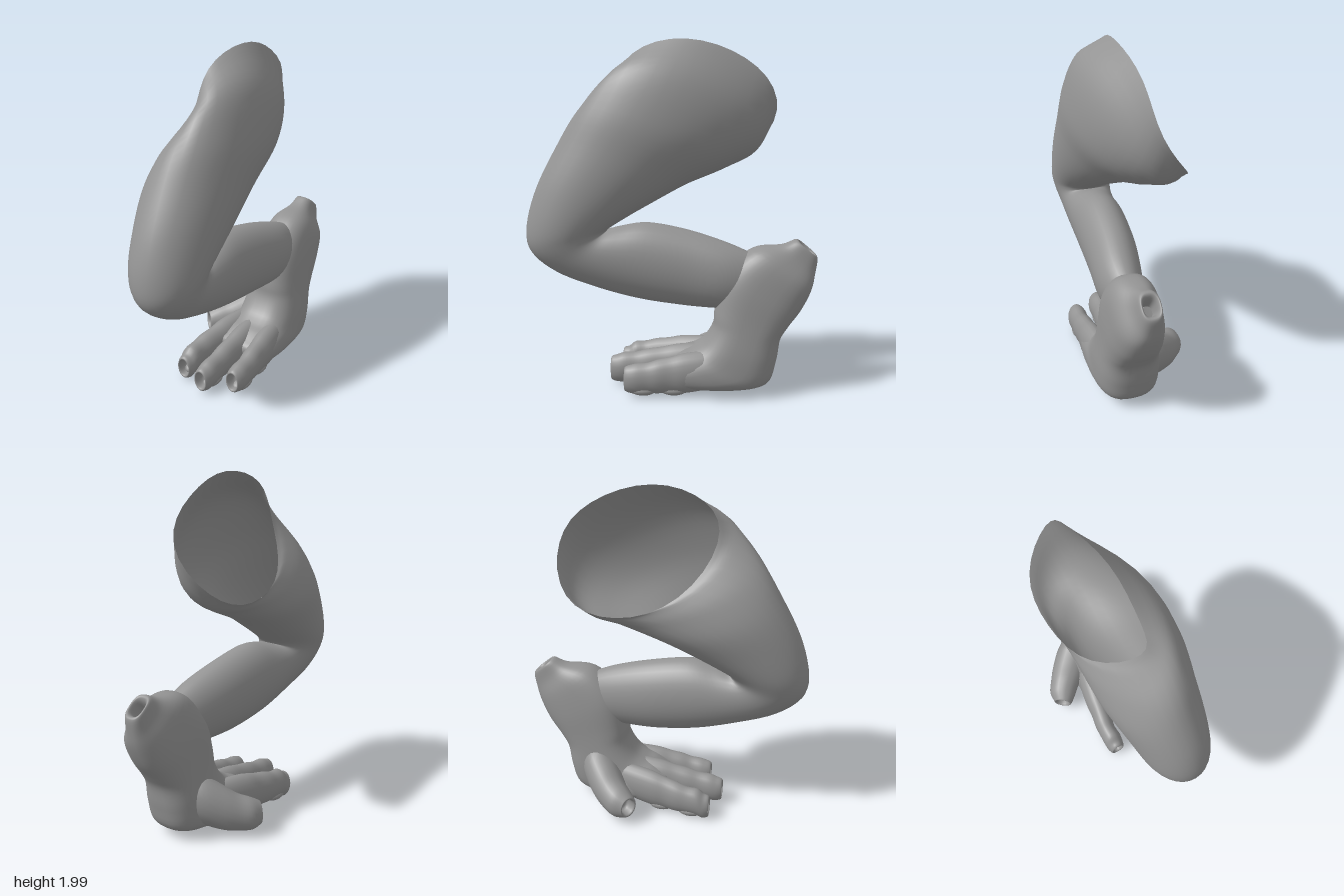
import * as THREE from 'three';

const material = new THREE.MeshStandardMaterial({ color: 0x949494, side: THREE.DoubleSide });
const soften = (v, power) => Math.sign(v) * Math.abs(v) ** power;

// Smooth skin through oval rings; each ring is [centre, half axis A, half axis B, bow at the ends of A].
// A power below 1 makes the ovals squarer.
function loft(name, rings, sides = 32, steps = 5, power = 1) {
  const curves = [0, 1, 2, 3].map(k => new THREE.CatmullRomCurve3(
    rings.map(r => new THREE.Vector3(...(r[k] ?? [0, 0, 0]))), false, 'catmullrom', 0.5));
  const rows = (rings.length - 1) * steps;
  const position = [], index = [];
  for (let i = 0; i <= rows; i++) {
    const [c, a, b, bow] = curves.map(curve => curve.getPoint(i / rows));
    for (let j = 0; j < sides; j++) {
      const t = j / sides * Math.PI * 2, u = Math.cos(t);
      const p = c.clone().addScaledVector(a, soften(u, power))
        .addScaledVector(b, soften(Math.sin(t), power)).addScaledVector(bow, u ** 4);
      position.push(p.x, Math.max(p.y, 0), p.z);
      if (i < rows) {
        const n = (j + 1) % sides, q = i * sides;
        index.push(q + j, q + sides + j, q + n, q + n, q + sides + j, q + sides + n);
      }
    }
  }
  const geometry = new THREE.BufferGeometry();
  geometry.setAttribute('position', new THREE.Float32BufferAttribute(position, 3));
  geometry.setIndex(index);
  geometry.computeVertexNormals();
  const mesh = new THREE.Mesh(geometry, material);
  mesh.name = name;
  return mesh;
}

// Ring spanning a front point and a back point of the side profile.
function span(zf, yf, zb, yb, x, halfWidth, lift = 0) {
  return [[x, (yf + yb) / 2, (zf + zb) / 2], [0, (yf - yb) / 2, (zf - zb) / 2], [halfWidth, lift, 0]];
}

// Toe along a path of [x, y, z, half width, half height], ending in a hollow claw socket.
function toe(name, path, side = [1, 0, 0]) {
  const ring = ([x, y, z, w, h]) => [[x, y, z], [0, h, 0], side.map(s => s * w)];
  const [x, y, z, w, h] = path[path.length - 1];
  const ahead = [-side[2], 0, side[0]];
  const at = (d, k) => ring([x + ahead[0] * d, y, z + ahead[2] * d, w * k, h * k]);
  return loft(name, [...path.map(ring), at(0.01, 0.86), at(0.0, 0.72), at(-0.05, 0.6), at(-0.055, 0.01)], 20, 4);
}

// Soft oval pad under a toe
function pad(x, z) {
  const mesh = new THREE.Mesh(new THREE.SphereGeometry(1, 20, 14), material);
  mesh.name = 'toePad';
  mesh.position.set(x, 0.045, z);
  mesh.scale.set(0.05, 0.035, 0.08);
  return mesh;
}

export function createModel() {
  const model = new THREE.Group();
  model.name = 'bentLeg';

  // Thigh open at the hip, folded knee and shank
  model.add(loft('thighAndShank', [
    [[-0.095, 1.67, -0.145], [0.02, 0.02, 0.43], [0.145, 0.325, 0.07], [0.085, 0.02, 0]],
    [[-0.005, 1.575, -0.05], [0.01, 0.12, 0.435], [0.215, 0.235, 0.05], [0.03, 0, 0]],
    [[0.03, 1.45, 0.1], [0, 0.13, 0.425], [0.245, 0.13, 0.02]],
    span(0.64, 1.41, -0.08, 1.2, 0.035, 0.245, 0.07),
    span(0.76, 1.18, 0.12, 1.09, 0.055, 0.225, 0.03),
    span(0.82, 0.97, 0.32, 0.975, 0.07, 0.2),
    span(0.8, 0.82, 0.36, 0.945, 0.08, 0.175),
    span(0.66, 0.7, 0.35, 0.945, 0.08, 0.158),
    span(0.45, 0.615, 0.28, 0.965, 0.08, 0.15),
    span(0.2, 0.545, 0.13, 0.985, 0.075, 0.15),
    span(-0.05, 0.51, -0.1, 0.945, 0.08, 0.145),
    span(-0.26, 0.5, -0.33, 0.875, 0.1, 0.13),
    span(-0.45, 0.5, -0.5, 0.8, 0.105, 0.09),
  ]));

  // Hock with a hollow stub, bending round the heel into the palm
  model.add(loft('hockAndPalm', [
    [[0.08, 0.76, -0.69], [0, 0.02, 0.025], [0.03, 0, 0]],
    [[0.08, 0.835, -0.75], [0, 0.03, 0.036], [0.038, 0, 0]],
    [[0.08, 0.85, -0.76], [0, 0.05, 0.06], [0.055, 0, 0]],
    span(-0.62, 0.87, -0.81, 0.71, 0.085, 0.075),
    span(-0.45, 0.845, -0.79, 0.62, 0.1, 0.125),
    span(-0.3, 0.7, -0.74, 0.51, 0.1, 0.15),
    span(-0.25, 0.5, -0.67, 0.41, 0.1, 0.16),
    span(-0.24, 0.4, -0.625, 0.33, 0.1, 0.168),
    span(-0.19, 0.31, -0.605, 0.2, 0.1, 0.18),
    span(-0.13, 0.265, -0.56, 0.07, 0.1, 0.185),
    span(-0.07, 0.24, -0.4, 0.03, 0.095, 0.195),
    span(-0.02, 0.21, -0.18, 0.03, 0.09, 0.195),
    span(0.02, 0.18, -0.04, 0.045, 0.085, 0.165),
    span(0.03, 0.13, 0.02, 0.1, 0.08, 0.01),
  ], 40, 5, 0.75));

  // Three forward toes with two pads each: [start x, tip x, tip z, tip y]
  [['innerToe', 0, -0.1, 0.29, 0.085], ['middleToe', 0.08, 0.07, 0.345, 0.1], ['outerToe', 0.19, 0.23, 0.25, 0.105]]
    .forEach(([name, x0, x1, z, y]) => {
      const p = (t, cy, w, h) => [x0 + (x1 - x0) * Math.min(1, t * 1.3), cy, -0.35 + (z + 0.35) * t, w, h];
      model.add(toe(name, [
        p(0, 0.17, 0.05, 0.1), p(0.25, 0.155, 0.07, 0.115), p(0.45, 0.14, 0.072, 0.118), p(0.58, 0.13, 0.063, 0.107),
        p(0.7, 0.122, 0.063, 0.1), p(0.8, 0.113, 0.057, 0.09), p(0.9, 0.107, 0.06, 0.09),
        p(0.96, y, 0.056, 0.083), p(1, y, 0.048, 0.075),
      ]));
      [0.55, 0.84].forEach(t => model.add(pad(p(t)[0], p(t)[2])));
    });

  // Short inner thumb, splayed outward from the heel
  model.add(toe('thumb', [
    [0.07, 0.25, -0.46, 0.1, 0.13], [-0.02, 0.225, -0.4, 0.115, 0.15], [-0.11, 0.175, -0.33, 0.11, 0.135],
    [-0.18, 0.14, -0.27, 0.095, 0.11], [-0.23, 0.125, -0.215, 0.085, 0.095], [-0.255, 0.12, -0.17, 0.062, 0.072],
  ], [0.78, 0, 0.62]));

  return model;
}
